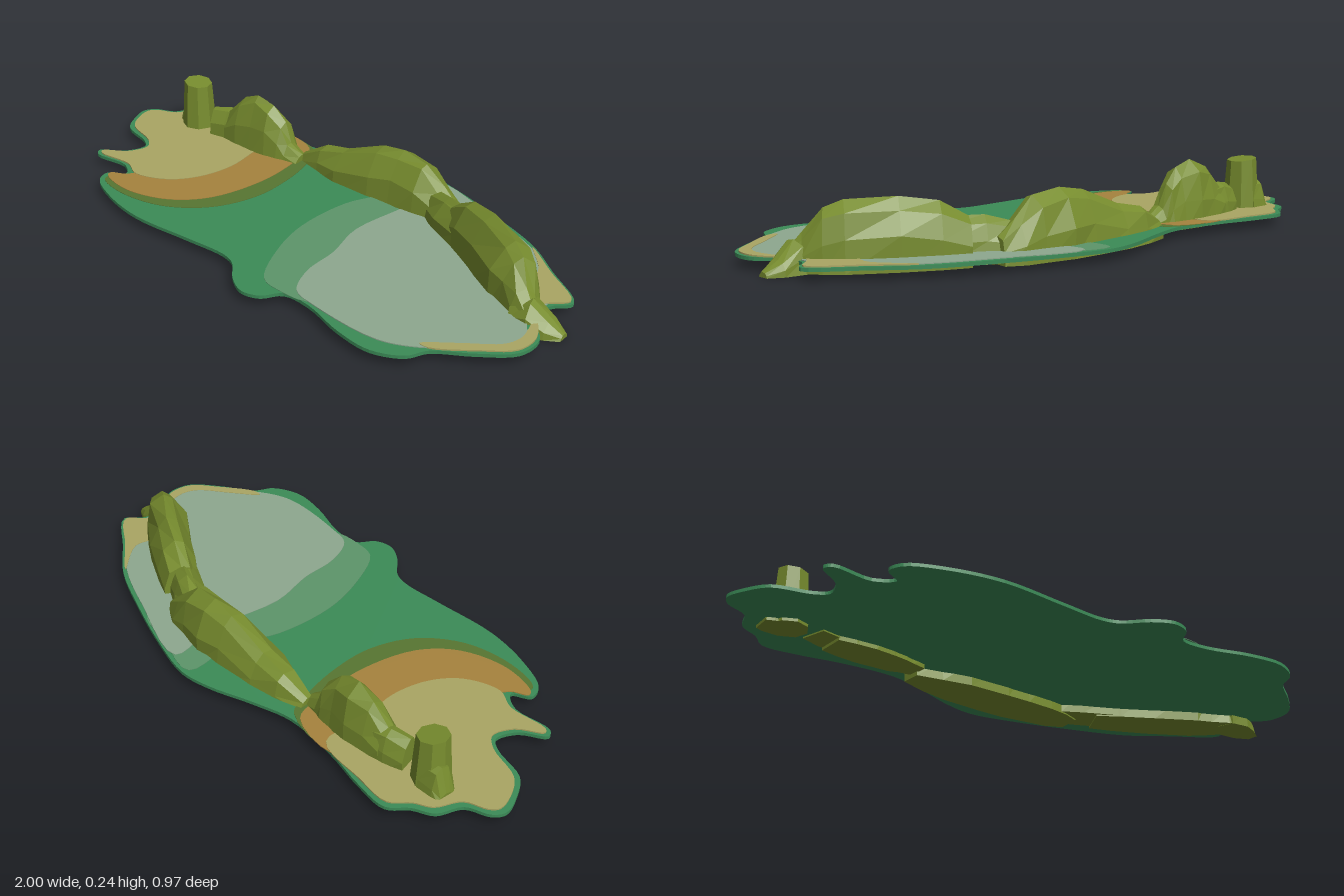
import * as THREE from 'three';

const mat = (name, color) => Object.assign(new THREE.MeshStandardMaterial({ color }), { name });

// Flat plate with a smooth outline given as [x, z] points; top is its upper height
function plate(name, points, top, depth, material) {
  const curve = new THREE.CatmullRomCurve3(points.map(([x, z]) => new THREE.Vector3(x, z, 0)), true);
  const outline = curve.getPoints(points.length * 5).slice(0, -1).map(p => new THREE.Vector2(p.x, p.y));
  const geo = new THREE.ExtrudeGeometry(new THREE.Shape(outline), { depth, bevelEnabled: false });
  geo.rotateX(Math.PI / 2).translate(0, top, 0);
  const mesh = new THREE.Mesh(geo, material);
  mesh.name = name;
  return mesh;
}

// Faceted rock lofted along stations [x, z, halfWidth, topHeight]
const PROFILE = [[-1, 0], [-0.92, 0.45], [-0.62, 0.84], [-0.1, 1], [0.42, 0.93], [0.86, 0.55], [1, 0]];
function ridge(name, stations, bottom, material, seed) {
  const rand = () => (seed = (seed * 16807) % 2147483647) / 2147483647 - 0.5;
  const n = PROFILE.length, pos = [], idx = [];
  stations.forEach(([x, z, w, h], i) => {
    const a = stations[Math.max(i - 1, 0)], b = stations[Math.min(i + 1, stations.length - 1)];
    const len = Math.hypot(b[0] - a[0], b[1] - a[1]);
    const nx = -(b[1] - a[1]) / len, nz = (b[0] - a[0]) / len;
    for (const [u, v] of PROFILE) {
      const s = u * w + (v > 0 ? rand() * w * 0.25 : 0);
      const y = v === 1 ? h : bottom + (h - bottom) * (v + (v > 0 ? rand() * 0.1 : 0));
      pos.push(x + nx * s, y, z + nz * s);
    }
  });
  for (let i = 0; i < stations.length - 1; i++) {
    for (let j = 0; j < n; j++) {
      const a = i * n + j, b = i * n + (j + 1) % n;
      idx.push(a, b, a + n, b, b + n, a + n);
    }
  }
  const end = (stations.length - 1) * n;
  for (let j = 1; j < n - 1; j++) idx.push(0, j + 1, j, end, end + j, end + j + 1);
  const indexed = new THREE.BufferGeometry();
  indexed.setAttribute('position', new THREE.Float32BufferAttribute(pos, 3));
  indexed.setIndex(idx);
  const geo = indexed.toNonIndexed();
  geo.computeVertexNormals();
  const mesh = new THREE.Mesh(geo, material);
  mesh.name = name;
  return mesh;
}

export function createModel() {
  const model = new THREE.Group();
  model.name = 'rockyIsland';
  const green = mat('green', 0x3b8b57), midGreen = mat('midGreen', 0x5d956a);
  const paleGreen = mat('paleGreen', 0x8ea88f), sand = mat('sand', 0xaaa563);
  const ochre = mat('ochre', 0xa6833e), olive = mat('olive', 0x587632);
  const stone = mat('mossyStone', 0x778c2e);
  stone.flatShading = true;

  // Ground slab
  model.add(plate('ground', [
    [-1, -0.12], [-0.98, -0.16], [-0.91, -0.2], [-0.88, -0.28], [-0.82, -0.32], [-0.77, -0.375],
    [-0.65, -0.375], [-0.5, -0.355], [-0.31, -0.355], [-0.18, -0.4], [-0.03, -0.465], [0.08, -0.49],
    [0.25, -0.465], [0.45, -0.415], [0.65, -0.35], [0.79, -0.265], [0.94, -0.165], [0.9, -0.1],
    [0.92, -0.01], [0.985, 0.06], [0.985, 0.15], [0.9, 0.24], [0.8, 0.32], [0.77, 0.385],
    [0.68, 0.435], [0.55, 0.43], [0.4, 0.395], [0.3, 0.4], [0.26, 0.46], [0.2, 0.48],
    [0.13, 0.45], [0.06, 0.39], [0, 0.375], [-0.15, 0.39], [-0.38, 0.415], [-0.55, 0.39],
    [-0.67, 0.34], [-0.69, 0.29], [-0.64, 0.25], [-0.7, 0.21], [-0.83, 0.225], [-0.85, 0.2],
    [-0.78, 0.14], [-0.76, 0.07], [-0.8, 0.04], [-0.92, 0.01], [-0.97, -0.05]
  ], 0.046, 0.011, green));

  // Left colour bands, stacked so the sand lies on top
  model.add(plate('oliveBand', [
    [-0.55, -0.33], [-0.3, -0.335], [-0.25, -0.24], [-0.21, -0.1], [-0.2, 0.05], [-0.25, 0.2],
    [-0.37, 0.31], [-0.54, 0.35], [-0.66, 0.325], [-0.66, 0.28], [-0.58, 0.2]
  ], 0.0475, 0.0015, olive));
  model.add(plate('ochreBand', [
    [-0.55, -0.335], [-0.33, -0.335], [-0.29, -0.22], [-0.265, -0.04], [-0.3, 0.16], [-0.39, 0.27],
    [-0.54, 0.325], [-0.67, 0.305], [-0.68, 0.285], [-0.63, 0.25], [-0.6, 0.15]
  ], 0.049, 0.003, ochre));
  model.add(plate('leftSand', [
    [-0.98, -0.125], [-0.96, -0.155], [-0.895, -0.19], [-0.86, -0.27], [-0.81, -0.305], [-0.76, -0.36],
    [-0.64, -0.36], [-0.46, -0.338], [-0.45, -0.19], [-0.42, -0.04], [-0.44, 0.09], [-0.5, 0.18],
    [-0.61, 0.23], [-0.69, 0.2], [-0.82, 0.215], [-0.835, 0.2], [-0.765, 0.14], [-0.745, 0.07],
    [-0.79, 0.03], [-0.91, -0.005], [-0.955, -0.055]
  ], 0.0505, 0.0045, sand));

  // Right colour bands
  model.add(plate('midGreenBand', [
    [0.07, -0.47], [0.25, -0.445], [0.4, -0.41], [0.4, 0], [0.4, 0.37], [0.27, 0.4], [0.2, 0.385],
    [0.11, 0.25], [0.05, 0.08], [0.045, -0.13], [0.09, -0.28]
  ], 0.0475, 0.0015, midGreen));
  model.add(plate('paleGround', [
    [0.16, -0.46], [0.45, -0.4], [0.65, -0.335], [0.79, -0.25], [0.88, -0.17], [0.89, -0.1],
    [0.9, 0], [0.95, 0.08], [0.94, 0.15], [0.85, 0.25], [0.77, 0.33], [0.66, 0.385], [0.41, 0.385],
    [0.32, 0.365], [0.26, 0.26], [0.24, 0.13], [0.19, -0.03], [0.2, -0.29]
  ], 0.049, 0.003, paleGreen));
  model.add(plate('rightSand', [
    [0.91, -0.02], [0.975, 0.06], [0.975, 0.145], [0.9, 0.225], [0.79, 0.315], [0.76, 0.315],
    [0.84, 0.235], [0.93, 0.15], [0.945, 0.09]
  ], 0.0505, 0.0045, sand));
  model.add(plate('backSand', [
    [0.66, -0.335], [0.79, -0.255], [0.93, -0.165], [0.89, -0.11], [0.86, -0.06], [0.76, -0.14], [0.76, -0.23]
  ], 0.0505, 0.0045, sand));

  // Rock ridges along the back, from left to right in plan
  const rocks = new THREE.Group();
  rocks.name = 'rocks';
  model.add(rocks);
  const ridges = {
    leftBlock: [[[-0.68, -0.2, 0.045, 0.14], [-0.62, -0.22, 0.05, 0.15], [-0.56, -0.23, 0.05, 0.15]], 0.03],
    leftRidge: [[[-0.61, -0.22, 0.05, 0.15], [-0.55, -0.225, 0.06, 0.21], [-0.48, -0.23, 0.065, 0.24],
      [-0.41, -0.235, 0.06, 0.22], [-0.36, -0.24, 0.055, 0.17], [-0.33, -0.24, 0.045, 0.1],
      [-0.28, -0.245, 0.035, 0.07]], 0.02],
    middleRidge: [[[-0.29, -0.275, 0.035, 0.07], [-0.2, -0.285, 0.06, 0.12], [-0.1, -0.29, 0.08, 0.14],
      [0.05, -0.3, 0.085, 0.2], [0.14, -0.305, 0.085, 0.215], [0.24, -0.305, 0.075, 0.2],
      [0.31, -0.31, 0.065, 0.14], [0.37, -0.31, 0.04, 0.09]], 0.005],
    linkBlock: [[[0.31, -0.29, 0.055, 0.13], [0.38, -0.26, 0.06, 0.15], [0.5, -0.21, 0.06, 0.15]], 0.01],
    rightRidge: [[[0.43, -0.25, 0.06, 0.15], [0.51, -0.215, 0.07, 0.2], [0.62, -0.165, 0.075, 0.218],
      [0.76, -0.095, 0.075, 0.212], [0.81, -0.065, 0.065, 0.19], [0.86, -0.03, 0.055, 0.12],
      [0.9, -0.01, 0.04, 0.07]], 0.005]
  };
  Object.entries(ridges).forEach(([name, [stations, bottom]], i) =>
    rocks.add(ridge(name, stations, bottom, stone, 101 + i * 977)));
  rocks.add(ridge('rightEndRock', [[0.83, -0.005, 0.03, 0.07], [0.89, -0.03, 0.06, 0.1],
    [0.95, -0.04, 0.045, 0.05], [0.995, -0.045, 0.02, 0.02]], 0.004, stone, 7919));

  // Standing pillar at the left end, with a sloped top and a low boulder
  const pillarGeo = new THREE.CylinderGeometry(0.05, 0.062, 0.19, 8);
  const p = pillarGeo.attributes.position;
  for (let i = 0; i < p.count; i++) if (p.getY(i) > 0) p.setY(i, p.getY(i) - p.getX(i) * 0.12);
  const pillar = new THREE.Mesh(pillarGeo, stone);
  pillar.name = 'pillar';
  pillar.position.set(-0.765, 0.12, -0.195);
  rocks.add(pillar);
  rocks.add(ridge('pillarBoulder', [[-0.85, -0.21, 0.035, 0.06], [-0.825, -0.21, 0.045, 0.14],
    [-0.77, -0.21, 0.05, 0.14]], 0.025, stone, 4243));
  return model;
}
